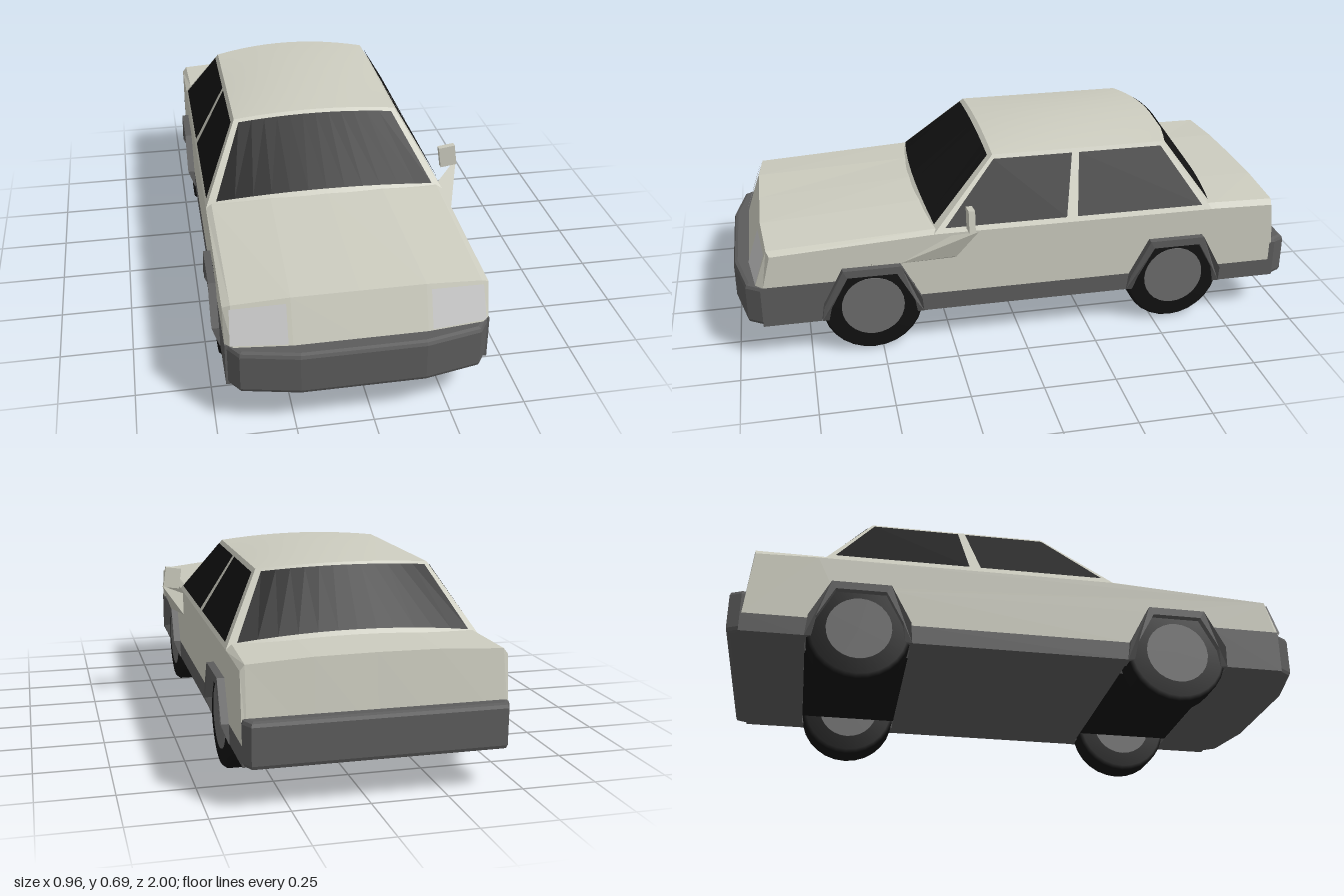
import * as THREE from 'three';
import { ParametricGeometry } from 'three/addons/geometries/ParametricGeometry.js';
import { ConvexGeometry } from 'three/addons/geometries/ConvexGeometry.js';

const V = (x, y, z) => new THREE.Vector3(x, y, z);
const mat = (color, flatShading = true) => new THREE.MeshStandardMaterial({ color, flatShading });
const PAINT = mat(0xccccbf), PAINT_SMOOTH = mat(0xccccbf, false), TRIM = mat(0x5c5c5c);
const GLASS = mat(0x121212), RUBBER = mat(0x121212, false), HUB = mat(0x6c6c6c), LAMP = mat(0xececec);
GLASS.side = THREE.DoubleSide;
LAMP.side = THREE.DoubleSide;

const HALF = 0.425;              // half width of the body
const AXLES = [0.53, -0.57];     // z of the front and rear axles

export function createModel() {
  const model = new THREE.Group();
  const car = new THREE.Group();
  car.name = 'car';
  car.position.x = -0.035;       // the single mirror shifts the body off centre
  model.add(car);

  const add = (name, geometry, material, x = 0, y = 0, z = 0) => {
    const mesh = new THREE.Mesh(geometry, material);
    mesh.name = name;
    mesh.position.set(x, y, z);
    car.add(mesh);
    return mesh;
  };
  // Extrudes a (z, y) side profile across x, centred on x = 0
  const across = (points, width) => {
    const shape = new THREE.Shape(points.map(([z, y]) => new THREE.Vector2(z, y)));
    const g = new THREE.ExtrudeGeometry(shape, { depth: width, bevelEnabled: false });
    return g.translate(0, 0, -width / 2).rotateY(-Math.PI / 2);
  };
  // Part of a surface f(u, v), moved outward by an offset
  const patch = (f, nu, nv, [u0, u1, v0, v1] = [0, 1, 0, 1], off = V(0, 0, 0)) =>
    new ParametricGeometry((u, v, t) =>
      t.copy(f(u0 + (u1 - u0) * u, v0 + (v1 - v0) * v)).add(off), nu, nv);

  // Body sides, notched over the wheels
  const notch = (c) => [[c + 0.17, 0.2], [c + 0.1, 0.325], [c - 0.1, 0.325], [c - 0.17, 0.2]];
  add('bodySides', across([
    [0.9, 0.285], [0.655, 0.285], ...notch(AXLES[0]).slice(1), ...notch(AXLES[1]),
    [-0.955, 0.2], [-0.93, 0.425], [-0.72, 0.43], [0.3, 0.43], [0.87, 0.4],
  ], HALF * 2), PAINT);

  // Nose, bonnet, deck, boot and tail as strips between half sections
  const rows = [
    [[0, 0.285, 0.945], [0.215, 0.285, 0.945], [0.4, 0.285, 0.925], [HALF, 0.285, 0.9]],
    [[0, 0.43, 0.895], [0.215, 0.43, 0.895], [0.4, 0.412, 0.88], [HALF, 0.4, 0.87]],
    [[0, 0.465, 0.34], [0.2, 0.46, 0.335], [0.405, 0.442, 0.315], [HALF, 0.43, 0.3]],
    [[0, 0.458, -0.73], [0.2, 0.456, -0.73], [0.405, 0.446, -0.72], [HALF, 0.43, -0.72]],
    [[0, 0.458, -0.935], [0.2, 0.456, -0.935], [0.41, 0.444, -0.932], [HALF, 0.425, -0.93]],
    [[0, 0.2, -0.957], [0.2, 0.2, -0.957], [0.41, 0.2, -0.956], [HALF, 0.2, -0.955]],
  ];
  const rowPoint = (row, k) => {
    const [x, y, z] = row[Math.abs(k)];
    return V(Math.sign(k) * x, y, z);
  };
  ['nose', 'bonnet', 'midDeck', 'bootLid', 'tailPanel'].forEach((name, i) => {
    const strip = (u, v) => {
      const s = u * 6 - 3, k = Math.min(2, Math.max(-3, Math.floor(s + 1e-9)));
      const at = (row) => rowPoint(row, k).lerp(rowPoint(row, k + 1), s - k);
      return at(rows[i]).lerp(at(rows[i + 1]), v);
    };
    add(name, patch(strip, 6, 1), PAINT);
  });

  // Dark lower body: front fenders, sills, rear corners, inner core
  add('frontLowerBody', across([[0.91, 0.135], [0.91, 0.285], [0.655, 0.285], [0.7, 0.2], [0.71, 0.135]], HALF * 2), TRIM);
  add('sills', across([[0.355, 0.135], [0.36, 0.2], [-0.4, 0.2], [-0.395, 0.135]], HALF * 2), TRIM);
  add('rearLowerBody', across([[-0.745, 0.135], [-0.74, 0.2], [-0.96, 0.2], [-0.96, 0.135]], HALF * 2), TRIM);
  add('floorCore', new THREE.BoxGeometry(0.6, 0.24, 1.7), RUBBER, 0, 0.257, -0.03);

  // Bumpers: plan outlines raised with a small rounded edge
  const bumper = (name, half) => {
    const pts = [...half, ...half.map(([x, z]) => [-x, z]).reverse()];
    const shape = new THREE.Shape(pts.map(([x, z]) => new THREE.Vector2(x, -z)));
    const b = 0.015;
    const g = new THREE.ExtrudeGeometry(shape, {
      depth: 0.15 - 2 * b, bevelSize: b, bevelThickness: b, bevelOffset: -b, bevelSegments: 2,
    });
    add(name, g.rotateX(-Math.PI / 2), TRIM, 0, 0.135 + b, 0);
  };
  bumper('frontBumper', [[HALF, 0.87], [HALF, 0.9], [0.385, 0.96], [0.2, 1]]);
  bumper('rearBumper', [[0.405, -1], [HALF, -0.96], [HALF, -0.94]]);

  // Greenhouse: bowed front, rear and roof, flat leaning sides
  const bow = (u) => 1 - (2 * u - 1) ** 2;
  const screen = (dir, baseZ, baseBow, topZ, topBow) => (u, v) => {
    const s = bow(u), x = dir * (2 * u - 1);
    return V(HALF * x, 0.43 + 0.034 * s, baseZ + baseBow * s)
      .lerp(V(0.295 * x, 0.655 + 0.018 * s, topZ + topBow * s), v);
  };
  const front = screen(1, 0.31, 0.03, 0.08, 0);
  const rear = screen(-1, -0.7, -0.03, -0.54, -0.04);
  const roof = (u, v) => {
    const p = front(u, 1).lerp(rear(1 - u, 1), v);
    p.y += 0.048 * v * (1 - v) * bow(u);
    return p;
  };
  add('windscreenFrame', patch(front, 12, 1), PAINT_SMOOTH);
  add('rearScreenFrame', patch(rear, 12, 1), PAINT_SMOOTH);
  add('roof', patch(roof, 12, 8), PAINT_SMOOTH);
  add('windscreen', patch(front, 12, 1, [0.035, 0.965, 0.06, 0.95], V(0, 0.003, 0.004)), GLASS);
  add('rearScreen', patch(rear, 12, 1, [0.035, 0.965, 0.06, 0.95], V(0, 0.003, -0.004)), GLASS);

  for (const side of [1, -1]) {
    const label = side > 0 ? 'left' : 'right';
    const wall = (u, v) => {
      const t = side > 0 ? u : 1 - u;
      return V(side * HALF, 0.43, 0.31 - 1.01 * t).lerp(V(side * 0.295, 0.655, 0.08 - 0.62 * t), v);
    };
    const span = (a, b) => side > 0 ? [a, b, 0.07, 0.94] : [1 - b, 1 - a, 0.07, 0.94];
    const off = V(side * 0.004, 0.002, 0);
    add(label + 'WindowFrame', patch(wall, 1, 1), PAINT);
    add(label + 'FrontWindow', patch(wall, 1, 1, span(0.025, 0.465), off), GLASS);
    add(label + 'RearWindow', patch(wall, 1, 1, span(0.505, 0.975), off), GLASS);

    // Headlight panel following the slanted nose
    const lampFace = (u, v) => V(side * 0.23, 0.292, 0.947).lerp(V(side * 0.41, 0.292, 0.925), u)
      .lerp(V(side * 0.23, 0.415, 0.905).lerp(V(side * 0.405, 0.402, 0.888), u), v);
    add(label + 'Headlight', patch(lampFace, 1, 1, side > 0 ? [0, 1, 0, 1] : [1, 0, 0, 1]), LAMP);

    AXLES.forEach((z, i) => {
      const end = i ? 'Rear' : 'Front';
      // Flared arch trim, tucking back in at its foot
      const arch = across([
        [0.178, 0.135], [0.17, 0.2], [0.1, 0.332], [-0.1, 0.332], [-0.17, 0.2], [-0.178, 0.135],
        [-0.155, 0.135], [-0.145, 0.195], [-0.085, 0.305], [0.085, 0.305], [0.145, 0.195], [0.155, 0.135],
      ], 0.08);
      const p = arch.attributes.position;
      for (let k = 0; k < p.count; k++) {
        if (p.getY(k) < 0.15 && p.getX(k) * side > 0) p.setX(k, side * 0.017);
      }
      arch.computeVertexNormals();
      add(label + end + 'Arch', arch, TRIM, side * 0.41, 0, z);

      // Tyre with chamfered shoulders and a plain hub disc
      const tyre = new THREE.LatheGeometry([[0, -0.06], [0.163, -0.06], [0.175, -0.045], [0.175, 0.045],
        [0.163, 0.06], [0, 0.06]].map(([r, y]) => new THREE.Vector2(r, y)), 28).rotateZ(Math.PI / 2);
      add(label + end + 'Tyre', tyre, RUBBER, side * 0.365, 0.175, z);
      add(label + end + 'Hub', new THREE.CylinderGeometry(0.11, 0.11, 0.125, 28).rotateZ(Math.PI / 2),
        HUB, side * 0.365, 0.175, z);
    });
  }

  // Door mirror on the left side only
  add('mirrorStalk', new ConvexGeometry([
    V(0.424, 0.33, 0.43), V(0.424, 0.335, 0.24), V(0.424, 0.42, 0.25),
    V(0.475, 0.365, 0.24), V(0.515, 0.47, 0.17), V(0.49, 0.45, 0.2),
  ]), PAINT);
  add('mirrorHead', new THREE.BoxGeometry(0.06, 0.078, 0.022), PAINT, 0.474, 0.498, 0.19).rotation.z = 0.14;

  return model;
}
